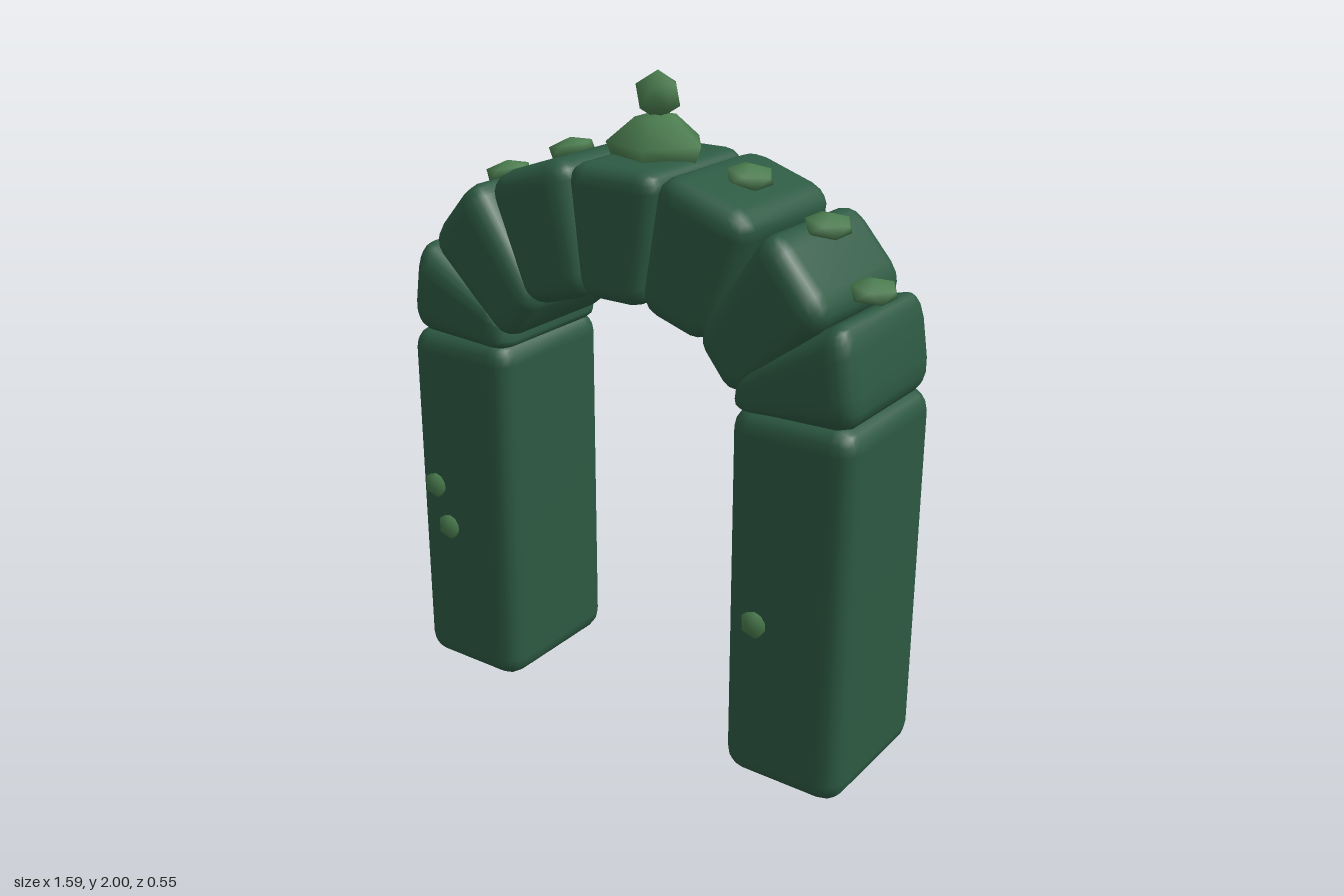
import * as THREE from 'three';
import { RoundedBoxGeometry } from 'three/addons/geometries/RoundedBoxGeometry.js';
import { mergeVertices } from 'three/addons/utils/BufferGeometryUtils.js';

const DEPTH = 0.495;

// Weld vertices so the shading runs smoothly over the bevels
function smooth(geometry) {
  geometry.deleteAttribute('normal');
  geometry.deleteAttribute('uv');
  const welded = mergeVertices(geometry, 1e-4);
  welded.computeVertexNormals();
  return welded;
}

// Rounded block bent to a quad: corners bottom-left, bottom-right, top-right, top-left
function blockGeometry([bl, br, tr, tl], radius) {
  const dist = (a, b) => Math.hypot(a[0] - b[0], a[1] - b[1]);
  const w = (dist(bl, br) + dist(tl, tr)) / 2;
  const h = (dist(bl, tl) + dist(br, tr)) / 2;
  const geometry = smooth(new RoundedBoxGeometry(w, h, DEPTH, 2, radius));
  const p = geometry.attributes.position;
  for (let i = 0; i < p.count; i++) {
    const u = p.getX(i) / w + 0.5, v = p.getY(i) / h + 0.5;
    const mix = (k) => (1 - v) * ((1 - u) * bl[k] + u * br[k]) + v * ((1 - u) * tl[k] + u * tr[k]);
    p.setXY(i, mix(0), mix(1));
  }
  geometry.computeVertexNormals();
  return geometry;
}

// Mirror a quad in x, keeping its corner order
const mirrorQuad = ([bl, br, tr, tl]) => [br, bl, tl, tr].map(([x, y]) => [-x, y]);

export function createModel() {
  const model = new THREE.Group();
  const stone = new THREE.MeshStandardMaterial({ color: 0x2d5a43 });
  stone.name = 'darkGreenStone';
  const moss = new THREE.MeshStandardMaterial({ color: 0x4a7c4e });
  moss.name = 'lightGreen';

  const add = (name, geometry, material) => {
    const mesh = new THREE.Mesh(geometry, material);
    mesh.name = name;
    model.add(mesh);
    return mesh;
  };

  // Pillars and arch stones, mirrored on both sides
  const quads = {
    pillar: [[0.4, 0.005], [0.79, 0.005], [0.79, 1.165], [0.4, 1.165]],
    lowerArchStone: [[0.395, 1.14], [0.795, 1.15], [0.745, 1.47], [0.41, 1.25]],
    middleArchStone: [[0.4, 1.17], [0.705, 1.45], [0.505, 1.68], [0.275, 1.33]],
    upperArchStone: [[0.31, 1.305], [0.465, 1.675], [0.155, 1.78], [0.09, 1.375]],
  };
  for (const [name, quad] of Object.entries(quads)) {
    add(name + 'Left', blockGeometry(quad, 0.07), stone);
    add(name + 'Right', blockGeometry(mirrorQuad(quad), 0.07), stone);
  }
  add('keystone', blockGeometry([[-0.11, 1.375], [0.11, 1.375], [0.16, 1.765], [-0.16, 1.765]], 0.06), stone);

  // Five-sided cap and ball finial
  const profile = [[0, 1.74], [0.125, 1.74], [0.148, 1.8], [0.065, 1.87], [0, 1.885]];
  add('cap', new THREE.LatheGeometry(profile.map(([x, y]) => new THREE.Vector2(x, y)), 5, Math.PI / 2), moss);

  // Faceted bead standing on one vertex
  const bead = smooth(new THREE.IcosahedronGeometry(1, 0).rotateZ(-Math.atan(2 / (1 + Math.sqrt(5)))));
  const finial = add('finial', bead, moss);
  finial.position.y = 1.93;
  finial.scale.setScalar(0.07);

  // Flattened beads along the top of the arch
  for (const side of [1, -1]) {
    for (const [x, y, tilt] of [[0.31, 1.74, 0.2], [0.56, 1.64, 0.15], [0.705, 1.483, 0.1]]) {
      const stud = add('archStud', bead, moss);
      stud.position.set(side * x, y, 0);
      stud.rotation.z = -side * tilt;
      stud.scale.set(0.07, 0.036, 0.085);
    }
  }

  // Small beads on the front and back of the pillars
  const pillarStuds = [
    [-0.7, 0.645, 1], [-0.65, 0.51, 1], [0.51, 0.53, 1],
    [-0.755, 1.075, -1], [-0.565, 1.04, -1], [0.445, 0.91, -1], [0.61, 0.46, -1], [0.56, 0.3, -1],
  ];
  for (const [x, y, side] of pillarStuds) {
    const stud = add('pillarStud', bead, moss);
    stud.position.set(x, y, side * 0.247);
    stud.rotation.x = side * Math.PI / 2;
    stud.scale.set(0.046, 0.027, 0.046);
  }
  return model;
}
